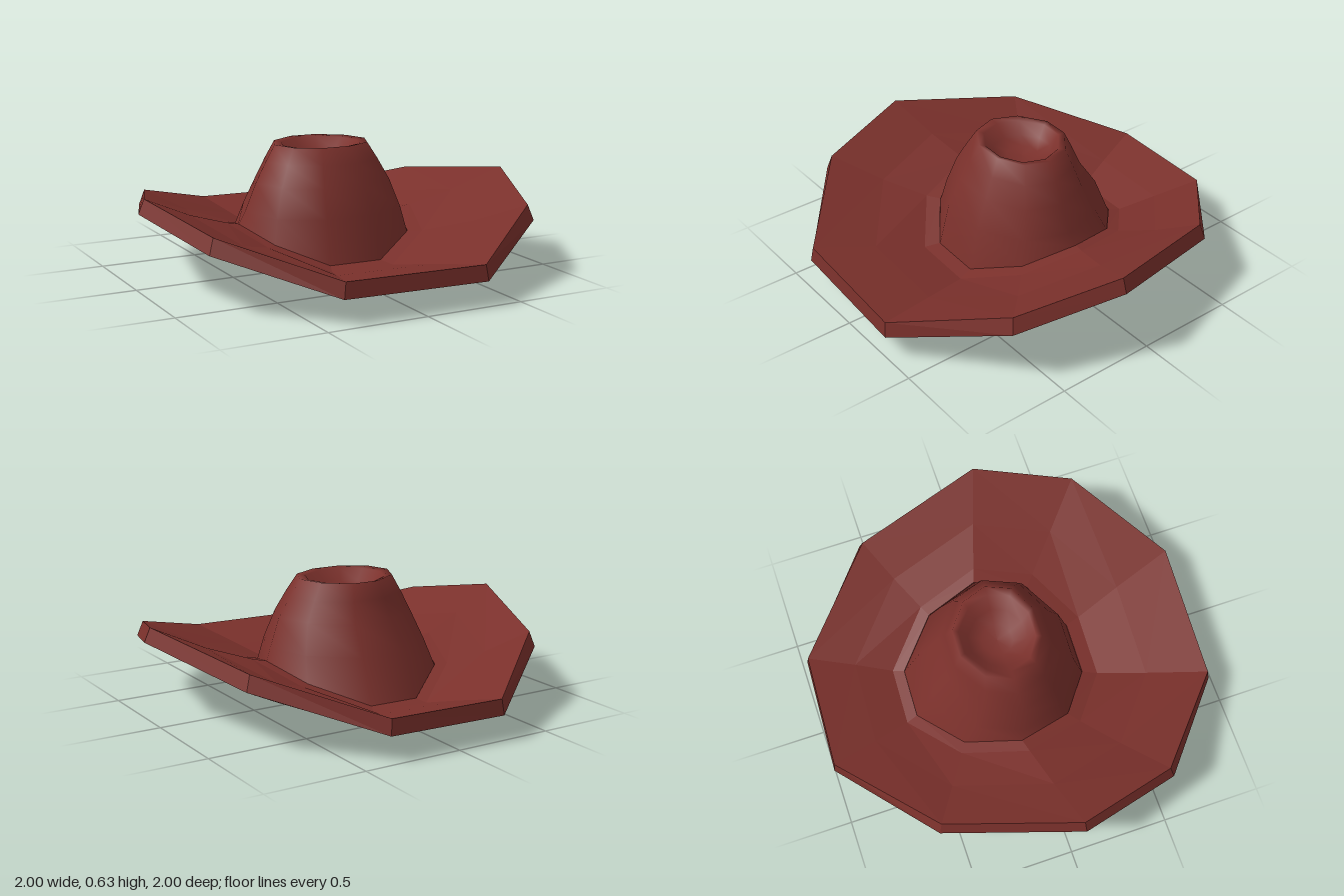
import * as THREE from 'three';

// Ten corners [x, z], clockwise from the back as seen from above
const OUTER = [[-0.25, -1], [0.35, -0.97], [0.82, -0.53], [1, 0.15], [0.82, 0.65],
  [0.32, 1], [-0.4, 0.96], [-0.86, 0.57], [-1, 0.06], [-0.76, -0.6]];
const INNER = [[-0.1, -0.52], [0.15, -0.51], [0.37, -0.3], [0.445, -0.03], [0.355, 0.23],
  [0.12, 0.37], [-0.15, 0.36], [-0.365, 0.2], [-0.44, -0.07], [-0.34, -0.34]];
// Each corner belongs to the front/back (0), a diagonal (1) or a side (2)
const ZONE = [0, 0, 1, 2, 1, 0, 0, 1, 2, 1];
const N = OUTER.length;

// Skin of quads over successive rings of points
function loft(rings) {
  const index = [];
  for (let r = 0; r < rings.length - 1; r++) {
    for (let i = 0; i < N; i++) {
      const j = (i + 1) % N;
      const a = r * N, b = a + N;
      index.push(a + i, b + i, b + j, a + i, b + j, a + j);
    }
  }
  const g = new THREE.BufferGeometry();
  g.setAttribute('position', new THREE.Float32BufferAttribute(rings.flat(2), 3));
  g.setIndex(index);
  g.computeVertexNormals();
  return g;
}

// Brim ring: t runs from the crown opening (0) to the rim (1); heights per zone
const brimRing = (t, heights, inset = 1) => OUTER.map(([x, z], i) => [
  THREE.MathUtils.lerp(INNER[i][0], x, t) * inset,
  heights[ZONE[i]],
  THREE.MathUtils.lerp(INNER[i][1], z, t) * inset,
]);

// Crown ring: the opening outline scaled about its own centre
const crownRing = (y, sx, sz, cz) => INNER.map(([x, z]) => [x * sx, y, cz + (z + 0.075) * sz]);

export function createModel() {
  const hat = new THREE.Group();
  hat.name = 'hat';
  const color = 0x7a302b;

  // Thick upturned brim: underside, rim, top and opening wall
  const opening = brimRing(0, [0.02, 0.1, 0.14]);
  const brim = new THREE.Mesh(
    loft([
      opening,
      brimRing(0.12, [0, 0.09, 0.16]),
      brimRing(0.5, [0.06, 0.165, 0.25]),
      brimRing(1, [0.12, 0.28, 0.38]),
      brimRing(1, [0.197, 0.356, 0.45], 0.97).map(([x, y, z], i) =>
        [x, y, ZONE[i] ? z : z * 1.02]),
      brimRing(0.5, [0.14, 0.255, 0.335]),
      brimRing(0.12, [0.09, 0.195, 0.265]),
      brimRing(0, [0.1, 0.19, 0.25]),
      opening,
    ]),
    new THREE.MeshStandardMaterial({ color, flatShading: true }),
  );
  brim.name = 'brim';

  // Rounded crown with a dished top
  const crown = new THREE.Mesh(
    loft([
      brimRing(0, [0.09, 0.18, 0.24]),
      crownRing(0.31, 0.93, 0.83, -0.055),
      crownRing(0.45, 0.81, 0.65, -0.04),
      crownRing(0.55, 0.68, 0.55, -0.045),
      crownRing(0.632, 0.56, 0.46, -0.05),
      crownRing(0.625, 0.46, 0.4, -0.05),
      crownRing(0.57, 0.34, 0.31, -0.05),
      crownRing(0.545, 0.18, 0.17, -0.05),
      crownRing(0.54, 0, 0, -0.05),
    ]),
    new THREE.MeshStandardMaterial({ color, side: THREE.DoubleSide }),
  );
  crown.name = 'crown';

  hat.add(brim, crown);
  return hat;
}
